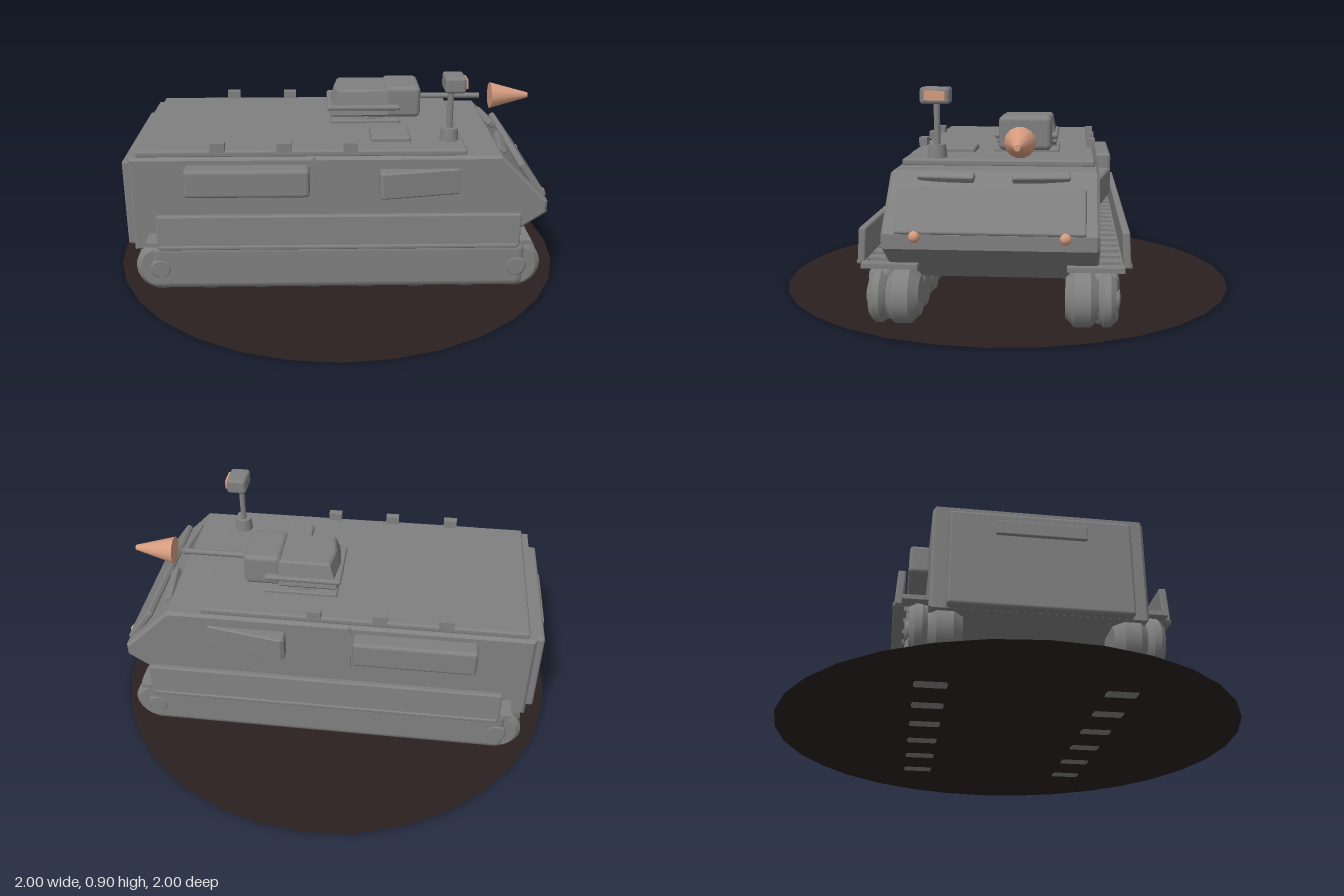
import * as THREE from 'three';
import { RoundedBoxGeometry } from 'three/addons/geometries/RoundedBoxGeometry.js';

const mat = (name, color, side = THREE.FrontSide) => {
  const m = new THREE.MeshStandardMaterial({ color, side });
  m.name = name;
  return m;
};

export function createModel() {
  const grey = mat('armour grey', 0x808080);
  const orange = mat('warm orange', 0xd69c80);
  const dark = mat('ground dark', 0x2b2020, THREE.DoubleSide);
  const root = new THREE.Group();
  root.name = 'trackedCarrier';

  const add = (name, geo, x = 0, y = 0, z = 0, material = grey) => {
    const m = new THREE.Mesh(geo, material);
    m.name = name;
    m.position.set(x, y, z);
    root.add(m);
    return m;
  };
  // Box given by its limits on each axis, with softened edges
  const box = (name, x, y, z, r = 0.01, material = grey) => {
    const s = [x, y, z].map(([a, b]) => b - a);
    const geo = r ? new RoundedBoxGeometry(...s, 2, r) : new THREE.BoxGeometry(...s);
    return add(name, geo, (x[0] + x[1]) / 2, (y[0] + y[1]) / 2, (z[0] + z[1]) / 2, material);
  };
  const extrude = (points, depth, bevel) => new THREE.ExtrudeGeometry(
    new THREE.Shape(points.map(p => new THREE.Vector2(...p))),
    { depth: depth - 2 * bevel, bevelEnabled: bevel > 0, bevelSize: bevel, bevelThickness: bevel, bevelOffset: -bevel, bevelSegments: 1 }
  ).translate(0, 0, bevel);
  // Wheel lathe profile with chamfered rims, axis turned to z
  const wheelGeo = (r, w, c) => new THREE.LatheGeometry(
    [[0, -w / 2], [r - c, -w / 2], [r - c, -w / 2], [r, -w / 2 + c], [r, -w / 2 + c], [r, w / 2 - c], [r, w / 2 - c],
      [r - c, w / 2], [r - c, w / 2], [0, w / 2]].map(p => new THREE.Vector2(...p)), 24).rotateX(Math.PI / 2);

  // Ground disc
  add('groundDisc', new THREE.CircleGeometry(1, 32).rotateX(-Math.PI / 2), 0, 0.006, 0, dark);

  // Hull
  add('hull', extrude([[-0.87, 0.17], [0.66, 0.17], [0.74, 0.23], [0.885, 0.33], [0.885, 0.385], [0.68, 0.59], [-0.87, 0.59]],
    0.8, 0.012), 0, 0, -0.4);
  box('roofPlate', [-0.84, 0.535], [0.585, 0.615], [-0.385, 0.385], 0.01);
  box('rearDoor', [-0.91, -0.86], [0.17, 0.555], [-0.34, 0.34], 0.012);
  box('rearDoorPanel', [-0.922, -0.905], [0.46, 0.52], [-0.17, 0.17], 0.006);

  // Sloping front plate, bars and lamps
  const glacis = box('frontPlate', [0.73, 0.92], [0.443, 0.473], [-0.35, 0.35], 0.01);
  glacis.position.set(0.825, 0.46, 0);
  glacis.rotation.z = -0.95;
  for (const s of [-1, 1]) {
    const bar = box('frontBar', [0.7, 0.74], [0.56, 0.59], [-0.11, 0.11], 0.008);
    bar.position.set(0.71, 0.572, s * 0.18);
    bar.rotation.set(0, -s * 0.12, -0.6, 'YXZ');
    add('headlamp', new THREE.SphereGeometry(0.023, 12, 8), 0.88, 0.377, s * 0.275, orange);
  }

  // Running gear and side fittings, mirrored
  for (const s of [-1, 1]) {
    const span = (a, b) => (s > 0 ? [a, b] : [-b, -a]);
    box('trackGuard', [-0.79, 0.79], [0.02, 0.23], span(0.375, 0.477), 0.035);
    for (const x of [-0.75, 0.75]) {
      add('endWheel', wheelGeo(0.11, 0.13, 0.035), x, 0.12, s * 0.34);
      add('endWheelDisc', wheelGeo(0.108, 0.065, 0.02), x, 0.12, s * 0.432);
      add('endWheelHub', wheelGeo(0.045, 0.03, 0.008), x, 0.12, s * 0.465);
    }
    for (let i = 0; i < 6; i++) {
      add('roadWheel', wheelGeo(0.1, 0.17, 0.025), -0.55 + i * 0.22, 0.1, s * 0.37);
    }
    // Fender brackets under the upper skirt
    for (let i = 0; i < 17; i++) {
      const x = -0.775 + i * 0.0969;
      box('fenderBracket', [x - 0.028, x + 0.028], [0.232, 0.25], span(0.28, 0.495), 0);
    }
    // Upper skirt, leaning outwards at its foot
    const skirt = box('upperSkirt', [-0.75, 0.75], [0.235, 0.378], [-0.015, 0.015], 0.008);
    skirt.position.z = s * 0.503;
    skirt.rotation.x = -s * 0.06;
    box('skirtFoot', [-0.74, 0.74], [0.232, 0.25], span(0.485, 0.527), 0.006);

    // Stowage bin, seam strip and slanted forward panel
    box('stowageBin', [-0.635, -0.12], [0.44, 0.56], span(0.39, 0.475), 0.015);
    box('sideSeam', [-0.107, -0.093], [0.37, 0.59], span(0.395, 0.408), 0);
    const wedge = extrude([[0.17, 0.38], [0.51, 0.38], [0.51, 0.403], [0.185, 0.46], [0.17, 0.45]], 0.115, 0.006)
      .rotateX(Math.PI / 2);
    const panel = add('forwardSidePanel', wedge, 0, 0.537, 0);
    if (s < 0) { panel.rotation.x = Math.PI; panel.position.y = 0.422; }

    for (const x of [-0.5, -0.225, 0.05]) {
      box('roofLug', [x - 0.03, x + 0.03], [0.612, 0.65], span(0.36, 0.396), 0);
    }
  }

  // Turret: plan with a pointed back, tapering towards the top
  const tz = -0.1;
  box('turretBase', [-0.03, 0.285], [0.61, 0.63], [-0.24, 0.035], 0.006);
  add('turretRing', new THREE.CylinderGeometry(0.12, 0.13, 0.05, 24), 0.13, 0.64, tz);
  const body = extrude([[-0.045, 0], [-0.03, -0.13], [0.225, -0.13], [0.225, 0.13], [-0.03, 0.13]], 0.12, 0.008).rotateX(-Math.PI / 2);
  const p = body.attributes.position;
  for (let i = 0; i < p.count; i++) {
    const k = p.getY(i) / 0.12;
    p.setZ(i, p.getZ(i) * (1 - 0.18 * k));
    if (p.getX(i) < 0.1) p.setX(i, p.getX(i) + 0.035 * k);
  }
  body.computeVertexNormals();
  add('turretBody', body, 0, 0.643, tz);
  box('turretRail', [-0.045, 0.285], [0.673, 0.695], [tz - 0.135, tz + 0.135], 0.01);
  box('gunMantlet', [0.215, 0.378], [0.632, 0.775], [tz - 0.11, tz + 0.11], 0.022);
  add('gunBarrel', new THREE.CylinderGeometry(0.013, 0.013, 0.3, 12).rotateZ(Math.PI / 2), 0.51, 0.704, tz);
  add('muzzleCone', new THREE.CylinderGeometry(0.012, 0.06, 0.175, 14).rotateZ(-Math.PI / 2), 0.797, 0.704, tz, orange);

  // Roof hatch and sensor mast
  box('roofHatch', [0.14, 0.31], [0.605, 0.635], [0.115, 0.285], 0.01);
  add('mastBase', new THREE.CylinderGeometry(0.035, 0.042, 0.06, 16), 0.475, 0.638, 0.25);
  add('mastPole', new THREE.CylinderGeometry(0.013, 0.013, 0.19, 12), 0.475, 0.75, 0.25);
  box('sensorHead', [0.442, 0.53], [0.832, 0.9], [0.19, 0.312], 0.014);
  box('sensorWindow', [0.53, 0.539], [0.849, 0.886], [0.208, 0.292], 0, orange);

  return root;
}
